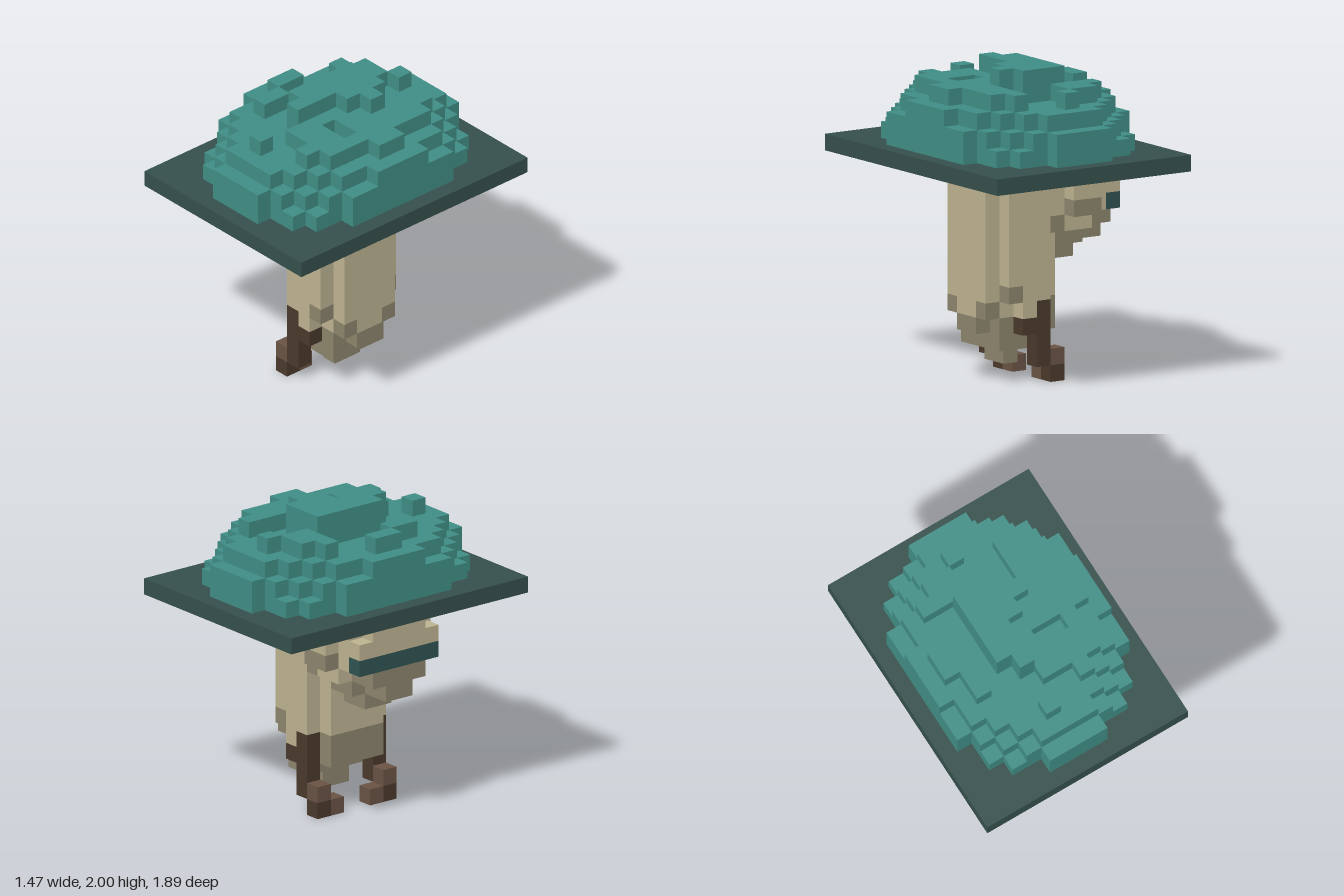
import * as THREE from 'three';

const U = 2 / 19; // edge length of one block

const mat = (name, color) => {
  const m = new THREE.MeshStandardMaterial({ color });
  m.name = name;
  return m;
};

// Axis, two tangents and sign for each of the six block faces
const SIDES = [];
for (let axis = 0; axis < 3; axis++) for (const sign of [1, -1]) SIDES.push({ axis, sign, u: (axis + 1) % 3, v: (axis + 2) % 3 });

export function createModel() {
  const materials = {
    cap: mat('teal', 0x408e86),
    brim: mat('dark slate green', 0x36504c),
    eyeBand: mat('deep teal', 0x305452),
    skin: mat('light tan', 0xbeb492),
    shadedSkin: mat('dull tan', 0x8c856d),
    leg: mat('dark brown', 0x4b392c),
    foot: mat('brown', 0x695344),
  };

  // Blocks are filled into a grid, later boxes replacing earlier ones; null carves
  const cells = new Map();
  const fill = (part, x0, x1, y0, y1, z0, z1) => {
    for (let x = x0; x < x1; x++) for (let y = y0; y < y1; y++) for (let z = z0; z < z1; z++) {
      const key = `${x},${y},${z}`;
      if (part) cells.set(key, part); else cells.delete(key);
    }
  };
  // Box centred on z = 0 with half-width w
  const mid = (part, x0, x1, y0, y1, w) => fill(part, x0, x1, y0, y1, -w, w);
  // Pair of boxes mirrored across z = 0
  const pair = (part, x0, x1, y0, y1, z0, z1) => {
    fill(part, x0, x1, y0, y1, z0, z1);
    fill(part, x0, x1, y0, y1, -z1, -z0);
  };

  // Brim
  mid('brim', -7, 7, 13, 14, 9);

  // Cap: stepped dome tiers as [half x, top, half z]
  for (const [hx, top, hz] of [
    [2, 16, 8], [2, 17, 7], [3, 16, 7], [4, 15, 7], [5, 15, 6], [4, 16, 6], [3, 17, 6],
    [5, 16, 5], [4, 17, 5], [6, 16, 4], [5, 17, 4], [6, 17, 2],
  ]) mid('cap', -hx, hx, 14, top, hz);
  // Raised patches of the second level as [x0, x1, z0, z1]
  for (const [x0, x1, z0, z1] of [
    [-1, 0, -6, -5], [-1, 0, 5, 6], [-5, -4, -1, 1], [-4, -3, 1, 3],
    [-3, -1, -5, -4], [-4, -1, -4, -3], [2, 3, -5, -4], [2, 4, -4, 4],
    [2, 3, 4, 5], [4, 5, -1, 1], [0, 2, 0, 4], [-2, 1, -3, 2], [1, 2, -2, 0], [-1, 0, 2, 3],
  ]) fill('cap', x0, x1, 14, 18, z0, z1);
  // Crown patches of the top level
  for (const [x0, x1, z0, z1] of [
    [-2, 1, -3, 0], [1, 2, -2, -1], [-2, 0, 0, 2], [-1, 0, 2, 3],
  ]) fill('cap', x0, x1, 18, 19, z0, z1);
  // Dent beside the crown
  fill(null, 1, 3, 17, 18, 1, 2);

  // Trunk with rounded plan
  mid('skin', -2, 2, 3, 13, 2);
  mid('skin', 2, 3, 3, 12, 2);
  mid('skin', -1, 2, 4, 13, 3);
  // Stepped, dull lower end of the trunk
  mid('shadedSkin', -2, -1, 3, 5, 2);
  mid('shadedSkin', -1, 2, 2, 4, 2);
  mid('shadedSkin', 0, 1, 1, 2, 1);
  mid('shadedSkin', 2, 3, 3, 4, 2);
  pair(null, 2, 3, 3, 4, 1, 2);
  pair('shadedSkin', 2, 3, 4, 5, 1, 2);
  pair(null, 1, 2, 4, 5, 2, 3);
  pair('shadedSkin', 1, 2, 5, 6, 2, 3);
  mid(null, -1, 0, 2, 3, 2);

  // Head
  mid('skin', -5, -1, 10, 13, 3);
  mid('skin', -6, -5, 10, 12, 3);
  mid('skin', -6, -5, 12, 13, 2);
  mid('eyeBand', -6, -5, 10, 11, 3);
  // Jaw
  mid('shadedSkin', -6, -4, 9, 10, 2);
  mid('skin', -4, -2, 9, 10, 3);
  pair('shadedSkin', -2, -1, 9, 10, 2, 3);
  mid('shadedSkin', -6, -4, 8, 9, 1);
  mid('shadedSkin', -4, -2, 8, 9, 2);
  mid('shadedSkin', -4, -2, 7, 8, 1);
  // Ears
  pair('skin', -4, -2, 11, 12, 3, 4);
  pair('shadedSkin', -4, -2, 10, 11, 3, 4);

  // Legs and feet
  pair('leg', -1, 0, 1, 5, 2, 3);
  pair('leg', 0, 1, 3, 4, 2, 3);
  pair('foot', -2, -1, 1, 2, 2, 3);
  pair('leg', -2, -1, 0, 1, 2, 3);
  pair('foot', -2, -1, 0, 1, 1, 2);

  // Emit only the exposed block faces, gathered by part
  const faces = {};
  for (const [key, part] of cells) {
    const c = key.split(',').map(Number);
    const list = (faces[part] ??= { pos: [], nor: [] });
    for (const { axis, sign, u, v } of SIDES) {
      const n = [0, 0, 0];
      n[axis] = sign;
      if (cells.has(c.map((k, i) => k + n[i]).join(','))) continue;
      const ring = [[0, 0], [1, 0], [1, 1], [0, 1]];
      if (sign < 0) ring.reverse();
      for (const i of [0, 1, 2, 0, 2, 3]) {
        const p = [...c];
        if (sign > 0) p[axis] += 1;
        p[u] += ring[i][0];
        p[v] += ring[i][1];
        list.pos.push(p[0] * U, p[1] * U, p[2] * U);
        list.nor.push(...n);
      }
    }
  }

  const group = new THREE.Group();
  group.name = 'hattedCreature';
  for (const [part, { pos, nor }] of Object.entries(faces)) {
    const geo = new THREE.BufferGeometry();
    geo.setAttribute('position', new THREE.Float32BufferAttribute(pos, 3));
    geo.setAttribute('normal', new THREE.Float32BufferAttribute(nor, 3));
    const mesh = new THREE.Mesh(geo, materials[part]);
    mesh.name = part;
    group.add(mesh);
  }
  return group;
}
